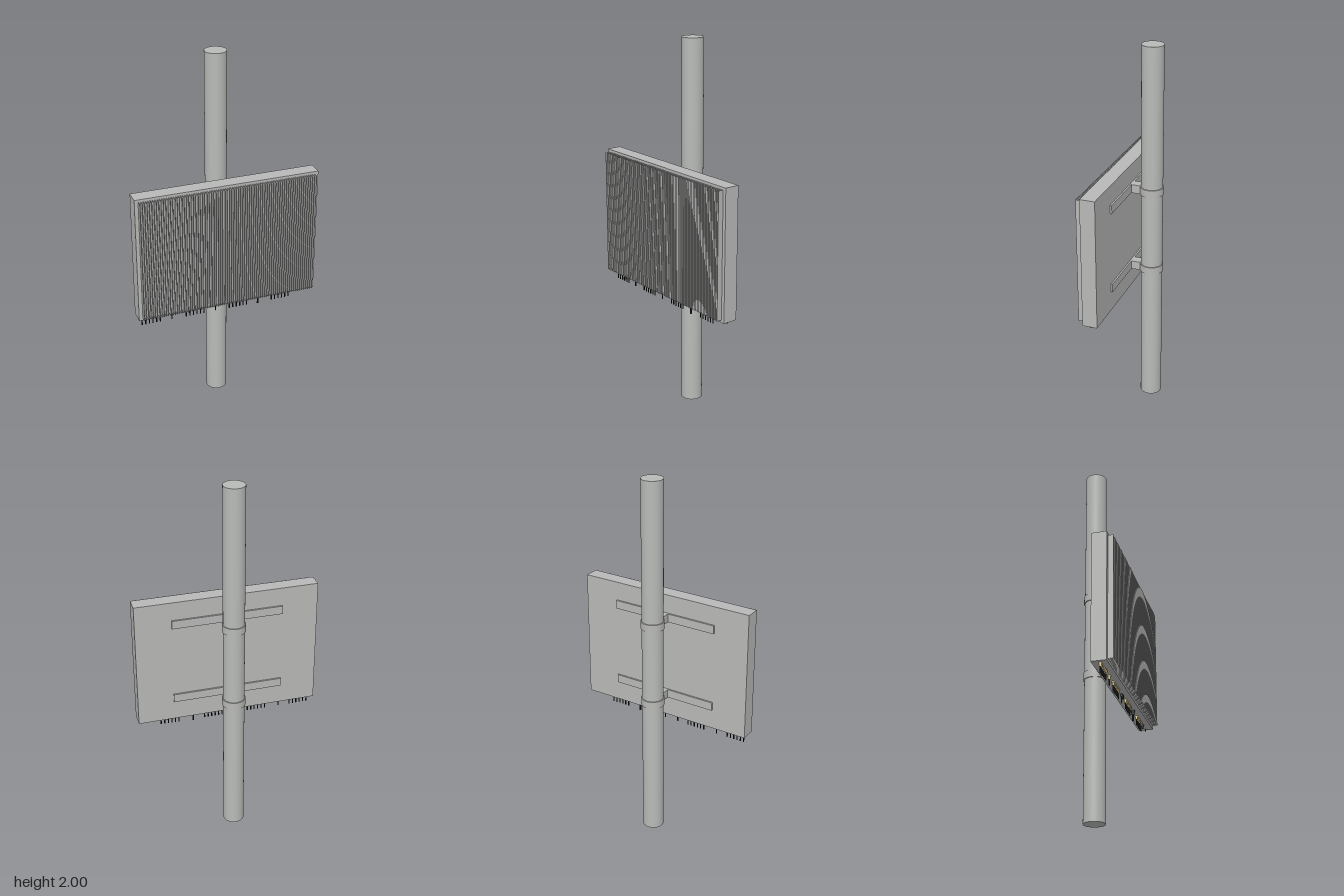
import * as THREE from 'three';

const mat = (name, color) => Object.assign(new THREE.MeshStandardMaterial({ color }), { name });

export function createModel() {
  const grey = mat('painted grey', 0xb9b9b8);
  const steel = mat('pole grey', 0xb8bbb8);
  const brass = mat('connector brass', 0xe6d596);
  const dark = mat('plug dark grey', 0x36383b);
  const black = mat('cable black', 0x1a1a1b);
  const model = new THREE.Group();
  model.name = 'poleMountedUnit';

  const add = (parent, name, geometry, material, x, y, z) => {
    const mesh = new THREE.Mesh(geometry, material);
    mesh.name = name;
    mesh.position.set(x, y, z);
    parent.add(mesh);
    return mesh;
  };
  const group = (name) => {
    const g = new THREE.Group();
    g.name = name;
    model.add(g);
    return g;
  };
  const POLE_Z = -0.081;

  // Mast
  add(model, 'pole', new THREE.CylinderGeometry(0.057, 0.057, 2, 48), steel, 0, 1, POLE_Z);

  // Cabinet
  add(model, 'cabinet', new THREE.BoxGeometry(0.99, 0.702, 0.08), grey, 0, 1.001, 0.073);

  // Cooling fins across the front
  const fins = group('coolingFins');
  const finGeometry = new THREE.BoxGeometry(0.003, 0.674, 0.029);
  const finCount = 80;
  for (let i = 0; i < finCount; i++) {
    add(fins, 'fin', finGeometry, grey, -0.474 + (0.948 * i) / (finCount - 1), 1.001, 0.1275);
  }
  add(model, 'labelPlate', new THREE.BoxGeometry(0.11, 0.05, 0.003), grey, 0.42, 0.72, 0.1145);

  // Two mounting brackets: rail, arm and clamp ring
  for (const y of [0.782, 1.227]) {
    const bracket = group('bracket');
    add(bracket, 'rail', new THREE.BoxGeometry(0.6, 0.046, 0.009), grey, 0, y, 0.0285);
    add(bracket, 'arm', new THREE.BoxGeometry(0.052, 0.046, 0.06), grey, 0, y, 0.003);
    add(bracket, 'clampRing', new THREE.CylinderGeometry(0.062, 0.062, 0.04, 48), grey, 0, y, POLE_Z);
  }

  // Ports and cables under the cabinet
  const BOTTOM = 0.65;
  const ports = group('ports');
  const cylinderDown = (name, r, top, length, material, x) =>
    add(ports, name, new THREE.CylinderGeometry(r, r, length, 14), material, x, top - length / 2, 0.075);

  // Four rows of six connectors, and one standing alone
  const connector = (x) => {
    cylinderDown('connectorFlange', 0.0085, BOTTOM, 0.008, brass, x);
    cylinderDown('connectorBody', 0.0065, BOTTOM - 0.008, 0.012, brass, x);
    cylinderDown('cable', 0.0032, BOTTOM - 0.02, 0.032, black, x);
  };
  for (const start of [-0.47, -0.225, 0.02, 0.265]) {
    for (let i = 0; i < 6; i++) connector(start + i * 0.02);
  }
  connector(-0.305);

  // Power inlet
  cylinderDown('powerFlange', 0.012, BOTTOM, 0.009, dark, 0.185);
  cylinderDown('powerBody', 0.009, BOTTOM - 0.009, 0.012, dark, 0.185);
  cylinderDown('powerCable', 0.005, BOTTOM - 0.021, 0.036, black, 0.185);
  // Small plugs
  for (const x of [-0.06, -0.045, -0.03]) {
    cylinderDown('smallPlug', 0.006, BOTTOM, 0.018, dark, x);
  }
  cylinderDown('smallCable', 0.0032, BOTTOM - 0.018, 0.032, black, -0.06);
  cylinderDown('servicePort', 0.008, BOTTOM, 0.008, dark, 0.41);
  cylinderDown('servicePlug', 0.005, BOTTOM - 0.008, 0.014, dark, 0.41);
  cylinderDown('ventPlug', 0.004, BOTTOM, 0.014, dark, 0.475);

  return model;
}
